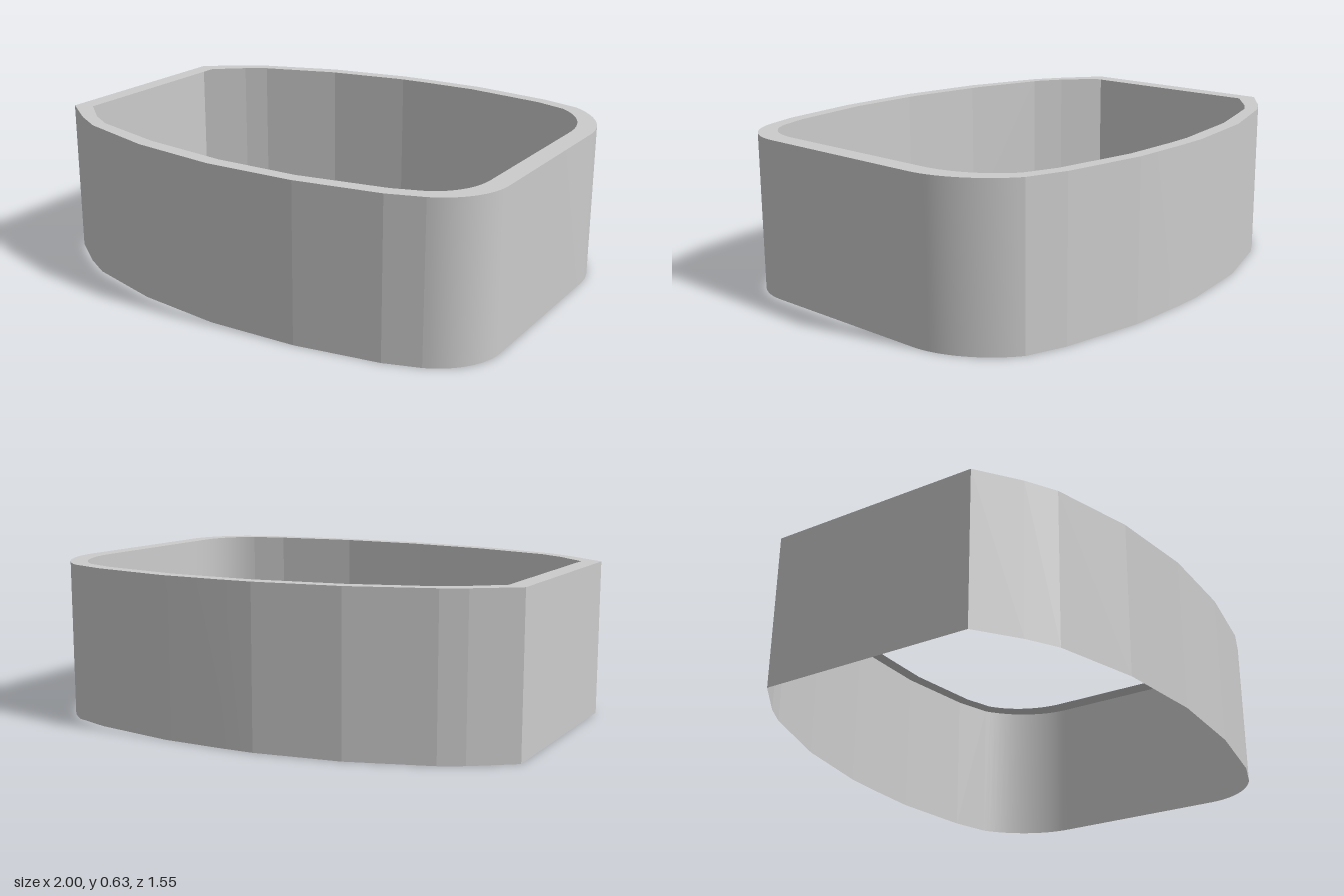
import * as THREE from 'three';
import { toCreasedNormals } from 'three/addons/utils/BufferGeometryUtils.js';

const HEIGHT = 0.63;
const v = ([x, z]) => new THREE.Vector2(x, z);

// Closed outline in plan (x, z): faceted back, rounded corner, rounded corner, faceted front.
function outline(back, backCorner, frontCorner, front) {
  const round = (c) => new THREE.CubicBezierCurve(...c.map(v)).getPoints(16);
  return [...back.map(v), ...round(backCorner), ...round(frontCorner), ...front.map(v)];
}

// Open upright band that follows the outline.
function bandGeometry(points, height) {
  const pos = [];
  points.forEach((a, i) => {
    const b = points[(i + 1) % points.length];
    pos.push(a.x, 0, a.y, b.x, height, b.y, b.x, 0, b.y);
    pos.push(a.x, 0, a.y, a.x, height, a.y, b.x, height, b.y);
  });
  const g = new THREE.BufferGeometry();
  g.setAttribute('position', new THREE.Float32BufferAttribute(pos, 3));
  return toCreasedNormals(g, 0.1);
}

// Flat ring between two outlines.
function ringGeometry(outer, inner) {
  const flip = (pts) => pts.map((p) => new THREE.Vector2(p.x, -p.y));
  const shape = new THREE.Shape(flip(outer));
  shape.holes.push(new THREE.Path(flip(inner)));
  return new THREE.ShapeGeometry(shape).rotateX(-Math.PI / 2);
}

export function createModel() {
  const group = new THREE.Group();
  group.name = 'openBand';
  const material = new THREE.MeshStandardMaterial({ color: 0xcccccc, side: THREE.DoubleSide });

  const outer = outline(
    [[-1, -0.44], [-0.84, -0.56], [-0.75, -0.61], [-0.43, -0.72], [-0.09, -0.775], [0.04, -0.78], [0.3, -0.78], [0.64, -0.73]],
    [[0.8, -0.68], [0.92, -0.6], [1, -0.46], [1, -0.33]],
    [[1, 0.42], [1, 0.53], [0.93, 0.63], [0.82, 0.675]],
    [[0.68, 0.72], [0.34, 0.77], [-0.03, 0.775], [-0.39, 0.725], [-0.72, 0.625], [-0.84, 0.555], [-1, 0.435]]
  );
  const inner = outline(
    [[-0.925, -0.41], [-0.8, -0.515], [-0.72, -0.565], [-0.41, -0.665], [-0.07, -0.72], [0.04, -0.725], [0.29, -0.725], [0.63, -0.675]],
    [[0.76, -0.63], [0.86, -0.56], [0.92, -0.44], [0.92, -0.31]],
    [[0.92, 0.4], [0.92, 0.5], [0.87, 0.58], [0.79, 0.62]],
    [[0.67, 0.66], [0.32, 0.715], [-0.02, 0.715], [-0.38, 0.665], [-0.7, 0.575], [-0.8, 0.515], [-0.925, 0.405]]
  );

  // Thin outer wall, open underneath
  const wall = new THREE.Mesh(bandGeometry(outer, HEIGHT), material);
  wall.name = 'wall';

  // Flat rim folded inward along the top edge
  const rim = new THREE.Mesh(ringGeometry(outer, inner), material);
  rim.name = 'topRim';
  rim.position.y = HEIGHT;

  group.add(wall, rim);
  return group;
}
